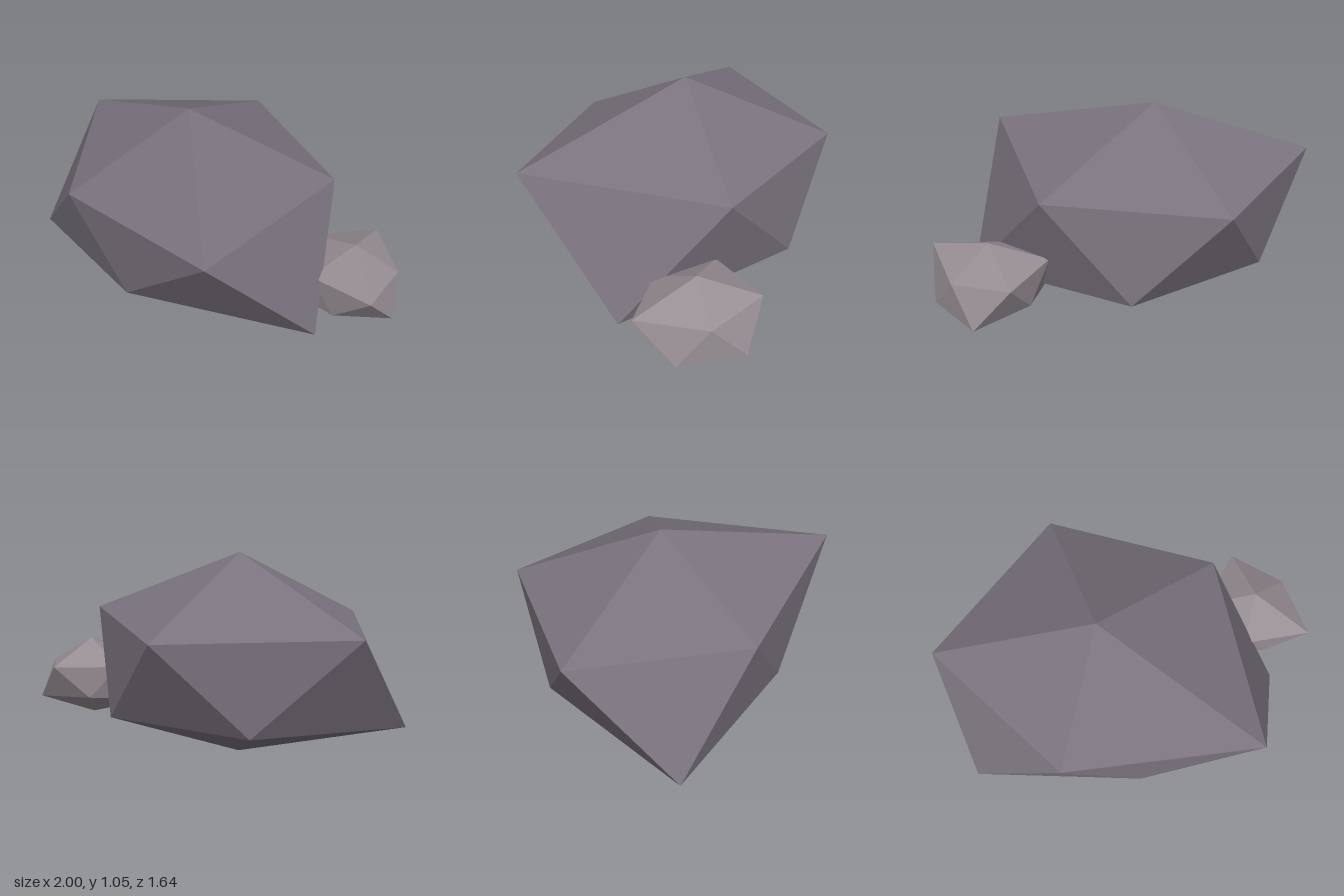
import * as THREE from 'three';

// A faceted stone: two staggered five-point rings between a top and a bottom point.
// Each ring entry is [radius, height], going round from +x towards +z.
function stone(name, x, z, bottom, top, upper, lower, material) {
  const ringPoint = (ring, i, offset) => {
    const [r, y] = ring[i % 5];
    const a = ((i + offset) * Math.PI * 2) / 5;
    return [x + r * Math.cos(a), y, z + r * Math.sin(a)];
  };
  const positions = [];
  const face = (...corners) => corners.forEach((c) => positions.push(...c));
  for (let i = 0; i < 5; i++) {
    const u0 = ringPoint(upper, i, 0);
    const u1 = ringPoint(upper, i + 1, 0);
    const l0 = ringPoint(lower, i, 0.5);
    const l1 = ringPoint(lower, i + 1, 0.5);
    face([x, top, z], u1, u0);
    face(u0, u1, l0);
    face(l0, u1, l1);
    face(l0, l1, [x, bottom, z]);
  }
  const geometry = new THREE.BufferGeometry();
  geometry.setAttribute('position', new THREE.Float32BufferAttribute(positions, 3));
  geometry.computeVertexNormals();
  const mesh = new THREE.Mesh(geometry, material);
  mesh.name = name;
  return mesh;
}

export function createModel() {
  const darkStone = new THREE.MeshStandardMaterial({ color: 0x7a737e, flatShading: true });
  darkStone.name = 'dark stone';
  const paleStone = new THREE.MeshStandardMaterial({ color: 0x978e93, flatShading: true });
  paleStone.name = 'pale stone';

  const group = new THREE.Group();
  group.name = 'rocks';

  // Main boulder
  group.add(stone('boulder', -0.15, -0.1, 0, 1.05,
    [[0.76, 0.735], [0.965, 0.805], [0.655, 0.705], [0.83, 0.757], [0.757, 0.735]],
    [[0.952, 0.18], [0.612, 0.285], [0.85, 0.21], [0.612, 0.29], [0.68, 0.27]],
    darkStone));

  // Small rock leaning against its left side
  group.add(stone('smallRock', 0.76, 0.115, 0.07, 0.505,
    [[0.225, 0.37], [0.347, 0.415], [0.25, 0.38], [0.29, 0.394], [0.305, 0.4]],
    [[0.278, 0.2], [0.226, 0.205], [0.37, 0.17], [0.226, 0.22], [0.292, 0.195]],
    paleStone));

  return group;
}
